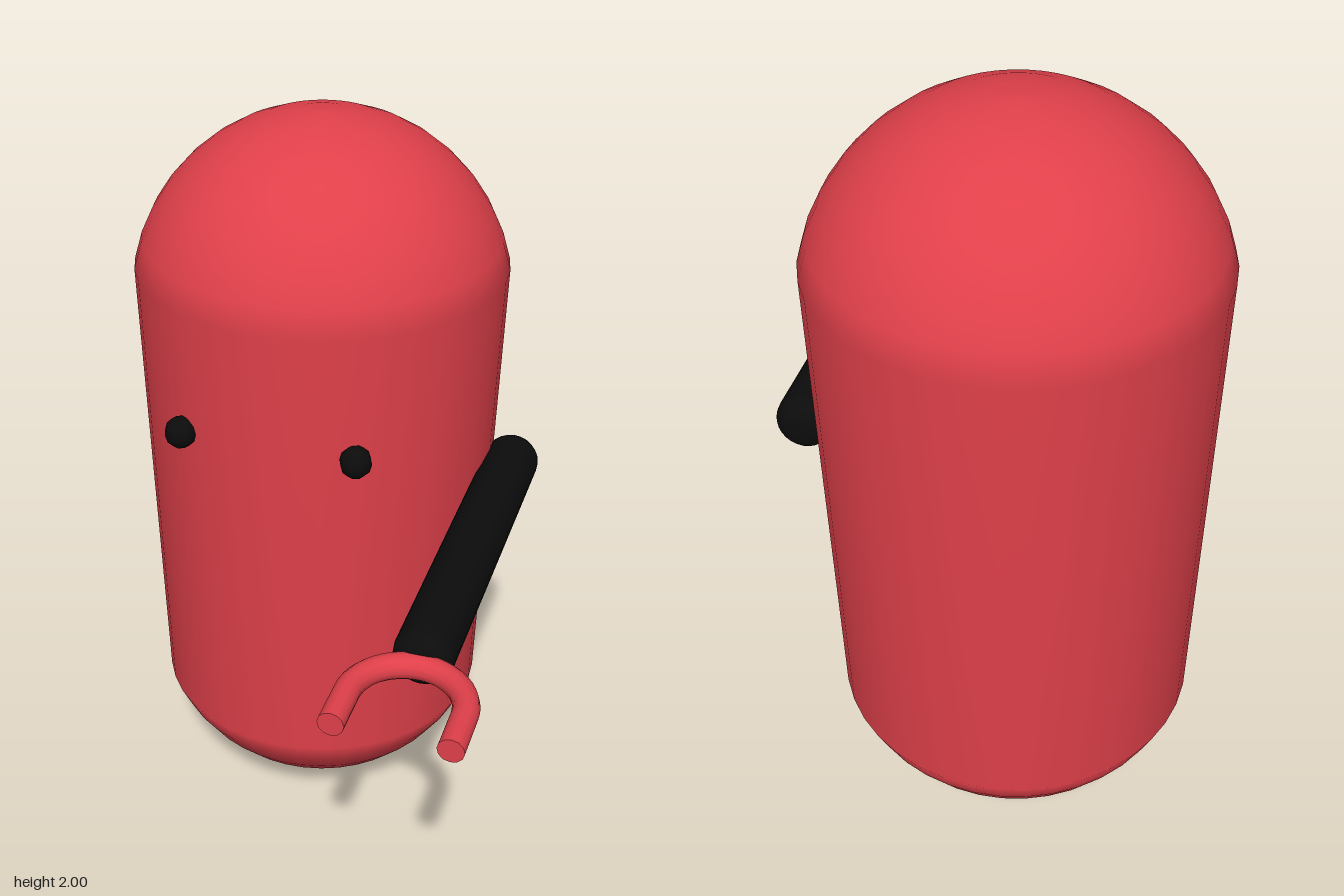
import * as THREE from 'three';

const mat = (color) => new THREE.MeshStandardMaterial({ color, roughness: 0.7 });

function add(group, name, geometry, material, x = 0, y = 0, z = 0) {
  const mesh = new THREE.Mesh(geometry, material);
  mesh.name = name;
  mesh.position.set(x, y, z);
  group.add(mesh);
  return mesh;
}

// points on a circular arc of a lathe profile, between two angles
function arc(cx, cy, r, from, to, steps) {
  return Array.from({ length: steps + 1 }, (_, i) => {
    const a = from + ((to - from) * i) / steps;
    return new THREE.Vector2(Math.max(0, cx + r * Math.cos(a)), cy + r * Math.sin(a));
  });
}

export function createModel() {
  const model = new THREE.Group();
  model.name = 'capsuleFigure';
  const red = mat(0xe0404a);
  const black = mat(0x0c0c0c);

  // body: slightly tapered capsule with domed ends
  const body = [
    ...arc(0, 0.49, 0.49, -Math.PI / 2, -0.355, 8),
    ...arc(0, 1.5, 0.5, 0.22, Math.PI / 2, 9),
  ];
  add(model, 'body', new THREE.LatheGeometry(body, 40), red, -0.108, 0, -0.332);

  // eyes
  for (const side of [-1, 1]) {
    add(model, side < 0 ? 'rightEye' : 'leftEye',
      new THREE.SphereGeometry(0.042, 8, 6), black, -0.108 + side * 0.233, 1.283, 0.107);
  }

  // arm: rod with rounded ends, pointing forward
  const half = 0.498, r = 0.073, round = 0.05;
  const rod = [
    new THREE.Vector2(0, -half),
    ...arc(r - round, -half + round, round, -Math.PI / 2, 0, 5),
    ...arc(r - round, half - round, round, 0, Math.PI / 2, 5),
    new THREE.Vector2(0, half),
  ];
  const arm = add(model, 'arm', new THREE.LatheGeometry(rod, 24), black, 0.42, 1.067, 0.07);
  arm.rotation.x = Math.PI / 2;

  // claw: U-shaped tube, open to the front
  const claw = new THREE.Group();
  claw.name = 'claw';
  claw.position.set(0.427, 1.07, 0.703);
  model.add(claw);
  const bend = 0.133, tube = 0.031, reach = 0.117;
  const arch = add(claw, 'clawArch', new THREE.TorusGeometry(bend, tube, 12, 24, Math.PI), red);
  arch.rotation.x = -Math.PI / 2;
  for (const side of [-1, 1]) {
    const finger = add(claw, side < 0 ? 'rightFinger' : 'leftFinger',
      new THREE.CylinderGeometry(tube, tube, reach, 12), red, side * bend, 0, reach / 2);
    finger.rotation.x = Math.PI / 2;
  }
  return model;
}
